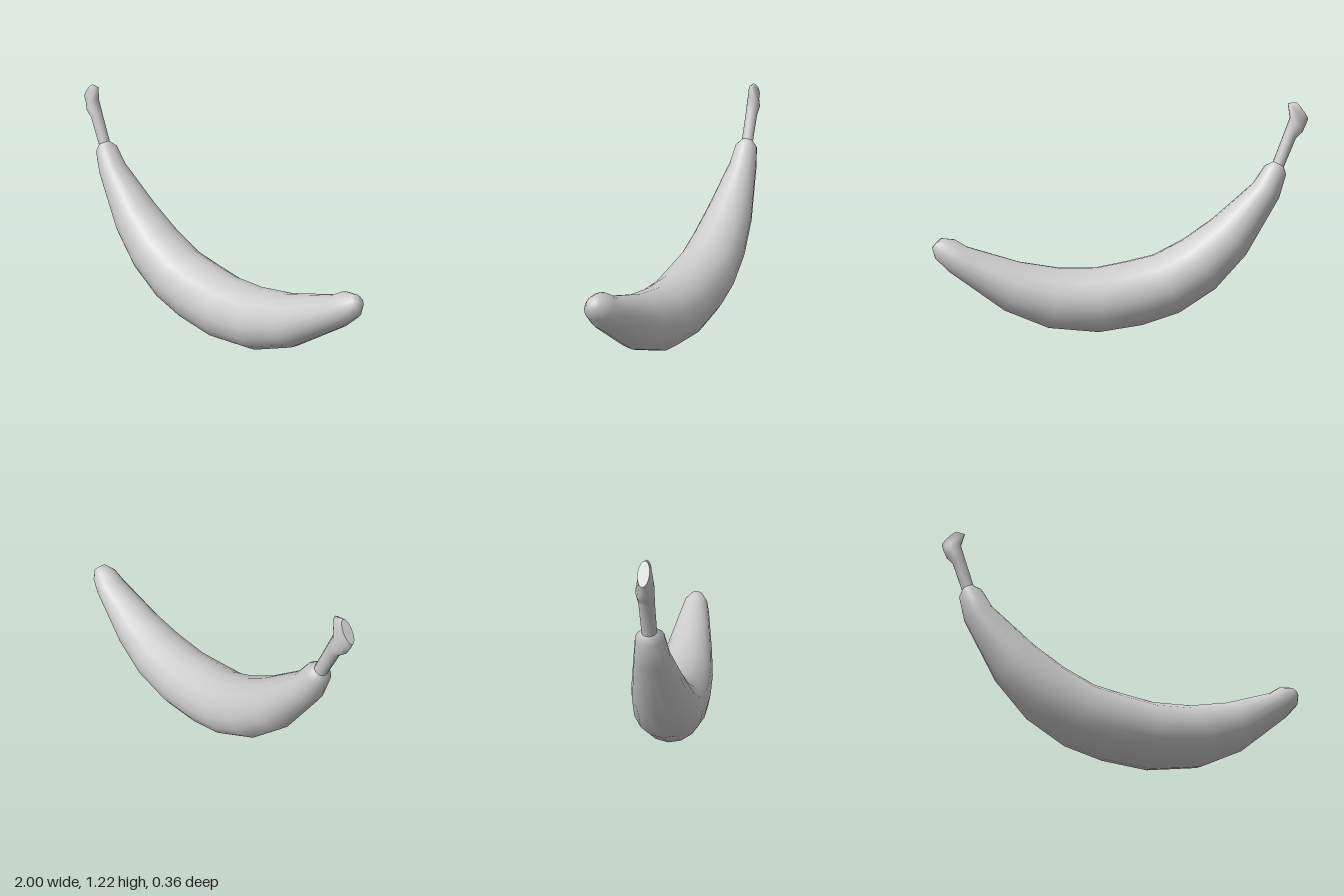
import * as THREE from 'three';

const SIDES = 16;

// Each station: lower x, y, upper x, y, half width in z
const stemStations = [
  [-1.0, 1.13, -0.93, 1.222, 0.025],
  [-0.99, 1.1, -0.885, 1.215, 0.028],
  [-0.97, 1.06, -0.9, 1.14, 0.04],
  [-0.935, 1.03, -0.87, 1.055, 0.035],
  [-0.873, 0.875, -0.815, 0.905, 0.034],
];
const bodyStations = [
  stemStations[4],
  [-0.885, 0.835, -0.77, 0.882, 0.065],
  [-0.85, 0.71, -0.71, 0.79, 0.082],
  [-0.67, 0.4, -0.49, 0.6, 0.135],
  [-0.5, 0.215, -0.33, 0.49, 0.16],
  [-0.3, 0.09, -0.17, 0.41, 0.172],
  [-0.1, 0.03, -0.03, 0.38, 0.178],
  [0.14, 0, 0.14, 0.35, 0.175],
  [0.41, 0.035, 0.34, 0.355, 0.165],
  [0.64, 0.14, 0.55, 0.395, 0.138],
  [0.92, 0.36, 0.82, 0.485, 0.09],
  [0.985, 0.43, 0.88, 0.525, 0.071],
  [1.0, 0.485, 0.95, 0.535, 0.035],
];

// Lofts elliptical rings through the stations, closing one end with a fan
function loft(stations, capStart, capEnd) {
  const pos = [], index = [];
  const addRing = ([lx, ly, ux, uy, w]) => {
    for (let j = 0; j < SIDES; j++) {
      const a = (j / SIDES) * Math.PI * 2, c = Math.cos(a) / 2;
      pos.push((lx + ux) / 2 + (ux - lx) * c, (ly + uy) / 2 + (uy - ly) * c, w * Math.sin(a));
    }
  };
  stations.forEach(addRing);
  for (let i = 0; i < stations.length - 1; i++) {
    for (let j = 0; j < SIDES; j++) {
      const k = (j + 1) % SIDES;
      const a = i * SIDES + j, b = i * SIDES + k;
      index.push(a, b, a + SIDES, b, b + SIDES, a + SIDES);
    }
  }
  const addCap = (s, base, flip) => {
    const centre = pos.length / 3;
    pos.push((s[0] + s[2]) / 2, (s[1] + s[3]) / 2, 0);
    for (let j = 0; j < SIDES; j++) {
      const a = base + j, b = base + ((j + 1) % SIDES);
      if (flip) index.push(centre, b, a);
      else index.push(centre, a, b);
    }
  };
  if (capStart) {
    // Own ring of vertices keeps the cut end crisp
    const base = pos.length / 3;
    addRing(stations[0]);
    addCap(stations[0], base, true);
  }
  if (capEnd) addCap(stations[stations.length - 1], (stations.length - 1) * SIDES, false);

  const geo = new THREE.BufferGeometry();
  geo.setAttribute('position', new THREE.Float32BufferAttribute(pos, 3));
  geo.setIndex(index);
  geo.computeVertexNormals();
  return geo;
}

export function createModel() {
  const group = new THREE.Group();
  group.name = 'banana';
  const material = new THREE.MeshStandardMaterial({ color: 0xcccccc });

  // Curved fruit with a rounded blossom end
  const body = new THREE.Mesh(loft(bodyStations, false, true), material);
  body.name = 'fruitBody';

  // Thin stem flaring to a cut end
  const stem = new THREE.Mesh(loft(stemStations, true, false), material);
  stem.name = 'stem';

  group.add(body, stem);
  return group;
}
